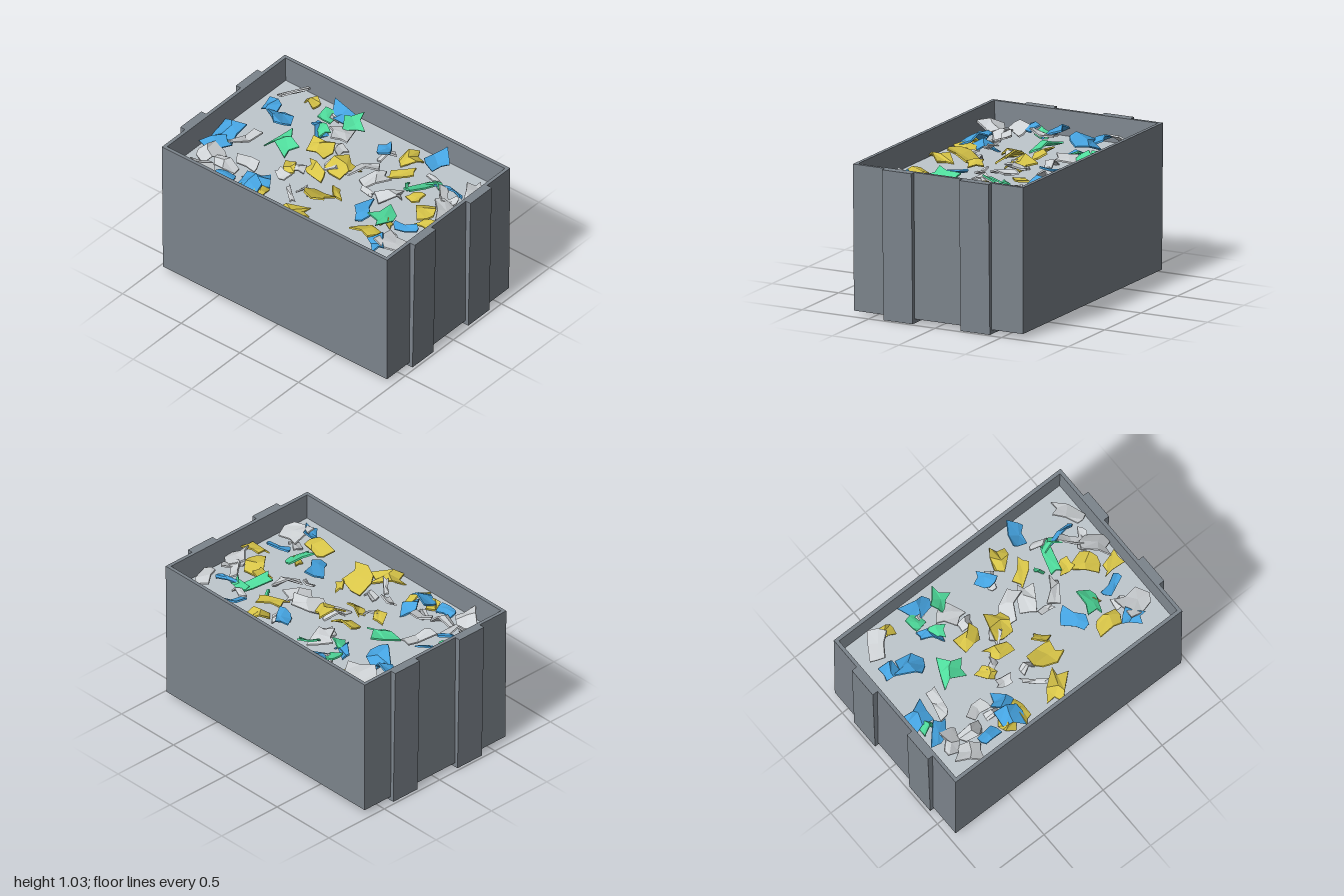
import * as THREE from 'three';

const mat = (name, color) => Object.assign(new THREE.MeshStandardMaterial({ color }), { name });

// small seeded generator for the shard shapes
let seed = 7;
const rnd = () => {
  seed = (seed * 16807) % 2147483647;
  return seed / 2147483647;
};
const spread = (a) => (rnd() * 2 - 1) * a;

// rectangular rings [halfX, halfZ, y] joined by flat faces
function ringShell(rings) {
  const pos = [];
  const corners = rings.map(([x, z, y]) => [[x, y, z], [x, y, -z], [-x, y, -z], [-x, y, z]]);
  for (let r = 0; r < rings.length - 1; r++) {
    for (let i = 0; i < 4; i++) {
      const j = (i + 1) % 4;
      const a = corners[r][i], b = corners[r][j], c = corners[r + 1][j], d = corners[r + 1][i];
      pos.push(...a, ...b, ...c, ...a, ...c, ...d);
    }
  }
  const g = new THREE.BufferGeometry();
  g.setAttribute('position', new THREE.Float32BufferAttribute(pos, 3));
  g.computeVertexNormals();
  return g;
}

// bent, irregular flake of plate
function shardGeometry(length, width) {
  const g = new THREE.BoxGeometry(length, 0.012, width, 2, 1, 2);
  const p = g.attributes.position;
  const bend = spread(0.035) + 0.015;
  const jitter = Array.from({ length: 9 }, () => [spread(0.16) * length, spread(0.2) * width, spread(0.006)]);
  for (let i = 0; i < p.count; i++) {
    const u = Math.round(p.getX(i) / (length / 2));
    const v = Math.round(p.getZ(i) / (width / 2));
    const [dx, dz, dy] = jitter[(u + 1) * 3 + v + 1];
    p.setXYZ(i, p.getX(i) + dx, p.getY(i) + dy - bend * u * u, p.getZ(i) + dz);
  }
  const flat = g.toNonIndexed();
  flat.computeVertexNormals();
  return flat;
}

// shards by colour: x, z, length, width, angle in degrees
const BLUE = [
  [-.36, -.51, .18, .1, 0], [-.77, -.26, .13, .1, 0], [-.64, -.22, .2, .11, 40], [.47, -.5, .15, .1, -60],
  [-.84, .1, .14, .13, 0], [-.8, .27, .17, .08, -50], [.4, .2, .19, .1, 55], [-.33, .35, .16, .09, 60],
  [-.37, .48, .16, .12, 20], [-.55, .48, .12, .08, 0], [.7, .43, .14, .09, 50], [.72, -.33, .2, .03, -10],
  [.75, .17, .16, .05, -20], [-.4, -.32, .15, .08, 30], [.11, -.38, .14, .08, 60],
];
const GREEN = [
  [-.47, -.02, .17, .16, 20], [-.22, -.45, .14, .11, -50], [-.43, -.43, .1, .08, 80], [.55, .17, .17, .1, -80],
  [.54, -.23, .2, .07, -70], [.61, -.32, .12, .06, 10], [-.82, .17, .09, .07, 0], [-.36, -.3, .1, .08, 30],
  [.43, -.21, .06, .02, 60],
];
const YELLOW = [
  [-.62, -.51, .1, .07, 20], [.28, -.44, .14, .1, -60], [.34, -.28, .2, .07, -40], [-.23, -.12, .15, .13, 0],
  [0, -.08, .17, .13, -70], [-.28, .14, .14, .07, 60], [-.13, .07, .16, .07, 10], [.14, .16, .11, .05, 50],
  [.08, .3, .17, .14, 0], [-.27, .46, .2, .06, 85], [.02, .49, .2, .12, -40], [.56, .35, .17, .12, 10],
  [.58, -.12, .1, .08, 0], [.71, -.06, .16, .11, 50], [.83, .06, .14, .1, 0], [-.41, .5, .1, .08, 30],
  [.59, .19, .07, .05, 0],
];
const PALE = [
  [-.74, -.46, .18, .1, -45], [-.22, -.33, .16, .14, 60], [-.17, -.23, .1, .06, 10], [-.06, -.07, .17, .08, -50],
  [.11, -.13, .2, .1, -40], [.24, -.11, .17, .13, -60], [.44, -.05, .17, .08, -50], [.3, .03, .11, .03, 10],
  [-.68, .11, .18, .08, -80], [-.24, .25, .1, .06, 20], [-.05, .26, .08, .05, 0], [-.08, .37, .16, .03, 40],
  [-.5, .3, .16, .07, 0], [-.76, .37, .16, .1, -60], [-.62, .4, .15, .08, 0], [-.73, .49, .17, .14, 30],
  [-.43, .38, .12, .06, 10], [.78, .36, .19, .14, 0], [.7, .29, .09, .07, 0], [.83, -.41, .19, .09, 55],
  [.72, -.23, .15, .07, 60], [.84, -.12, .18, .12, 50], [.57, -.35, .14, .04, 20], [.13, -.36, .12, .07, -60],
  [.79, -.21, .14, .06, -45], [-.22, .11, .1, .05, -30], [-.39, -.45, .1, .03, 0],
];

export function createModel() {
  seed = 7;
  const model = new THREE.Group();
  model.name = 'scrapContainer';
  const steel = mat('steel grey', 0x7c848c);
  const bed = mat('scrap bed grey', 0xbfc7cd);
  const FILL = 0.86;

  const add = (name, geometry, material, parent = model) => {
    const mesh = new THREE.Mesh(geometry, material);
    mesh.name = name;
    parent.add(mesh);
    return mesh;
  };

  // tapered walls, rim and inner faces
  add('binWalls', ringShell([
    [0.955, 0.635, 0.03], [0.96, 0.64, 1.03], [0.935, 0.615, 1.03], [0.92, 0.6, FILL],
  ]), steel);

  // underside
  const floor = add('binFloor', new THREE.PlaneGeometry(1.91, 1.27), steel);
  floor.rotation.x = Math.PI / 2;
  floor.position.y = 0.03;

  // level fill surface
  const fill = add('scrapBed', new THREE.PlaneGeometry(1.84, 1.2), bed);
  fill.rotation.x = -Math.PI / 2;
  fill.position.y = FILL;

  // two U-shaped bands running up both ends and under the floor
  const band = new THREE.Shape([
    [-0.98, 0], [0.98, 0], [1, 1.03], [0.96, 1.03], [0.955, 0.03], [-0.955, 0.03], [-0.96, 1.03], [-1, 1.03],
  ].map(([x, y]) => new THREE.Vector2(x, y)));
  const bandGeometry = new THREE.ExtrudeGeometry(band, { depth: 0.22, bevelEnabled: false });
  for (const [name, z] of [['frontBand', 0.18], ['backBand', -0.4]]) {
    add(name, bandGeometry, steel).position.z = z;
  }

  // loose shards lying on the bed
  const piles = [
    ['paleShard', PALE, mat('pale grey', 0xcfd3d6)],
    ['yellowShard', YELLOW, mat('yellow', 0xd8c548)],
    ['greenShard', GREEN, mat('green', 0x4fdc9c)],
    ['blueShard', BLUE, mat('blue', 0x45a3e0)],
  ];
  for (const [name, rows, material] of piles) {
    const pile = new THREE.Group();
    pile.name = name + 's';
    model.add(pile);
    for (const [x, z, length, width, degrees] of rows) {
      const roll = spread(0.55), pitch = spread(0.2);
      const shard = add(name, shardGeometry(length, width / Math.cos(roll)), material, pile);
      shard.rotation.set(roll, -THREE.MathUtils.degToRad(degrees), pitch, 'YXZ');
      const lift = Math.abs(Math.sin(roll)) * width * 0.5 + Math.abs(Math.sin(pitch)) * length * 0.4;
      shard.position.set(x, FILL + 0.03 + lift + rnd() * 0.015, z);
    }
  }
  return model;
}
